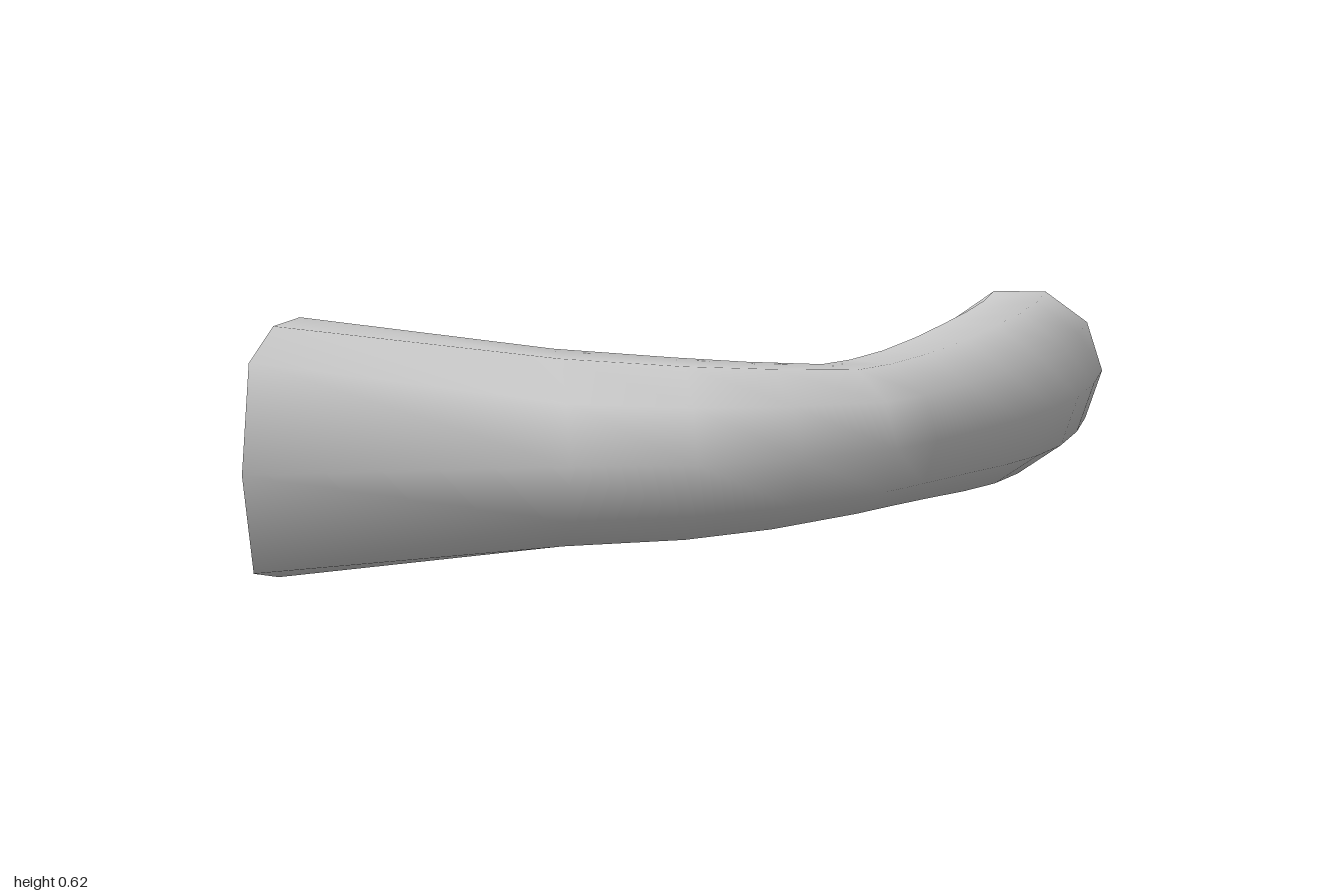
import * as THREE from 'three';

const SIDES = 10;
const MID_Y = 0.315;

// Cross-sections along the bend: outer x, z, inner x, z, half height
const RINGS = [
  [-0.25, 0.72, -0.4, 0.2, 0.233],
  [0.05, 0.67, -0.1, 0.21, 0.215],
  [0.29, 0.555, 0.04, 0.195, 0.2],
  [0.51, 0.39, 0.2, 0.13, 0.182],
  [0.6, 0.26, 0.25, 0.07, 0.182],
  [0.7, 0.09, 0.31, -0.03, 0.188],
  [0.8, -0.09, 0.37, -0.18, 0.2],
  [0.88, -0.28, 0.43, -0.36, 0.213],
  [0.94, -0.47, 0.475, -0.54, 0.22],
  [0.98, -0.7, 0.51, -0.73, 0.222],
  [1, -0.93, 0.53, -0.93, 0.222],
];

// Flared mouth outline as z, y, from the outer side over the top
const MOUTH = [
  [0.925, 0.315], [0.84, 0.57], [0.605, 0.625], [0.34, 0.61], [0.23, 0.55],
  [0.125, 0.31], [0.18, 0.08], [0.34, 0.02], [0.605, 0], [0.84, 0.06],
];

function createPipeGeometry() {
  const positions = [];
  for (const [z, y] of MOUTH) positions.push(-1, y, z);

  // Ten-sided rings standing upright between the outer and inner curves
  for (const [ox, oz, ix, iz, halfHeight] of RINGS) {
    for (let i = 0; i < SIDES; i++) {
      const a = (i / SIDES) * Math.PI * 2;
      const t = (1 - Math.cos(a)) / 2;
      positions.push(
        THREE.MathUtils.lerp(ox, ix, t),
        MID_Y + (halfHeight / Math.sin(Math.PI * 0.4)) * Math.sin(a),
        THREE.MathUtils.lerp(oz, iz, t),
      );
    }
  }

  // Skin between neighbouring rings, both ends left open
  const index = [];
  for (let r = 0; r < RINGS.length; r++) {
    for (let i = 0; i < SIDES; i++) {
      const j = (i + 1) % SIDES;
      const a = r * SIDES + i, b = r * SIDES + j;
      const c = a + SIDES, d = b + SIDES;
      index.push(a, c, b, b, c, d);
    }
  }

  const geometry = new THREE.BufferGeometry();
  geometry.setAttribute('position', new THREE.Float32BufferAttribute(positions, 3));
  geometry.setIndex(index);
  geometry.computeVertexNormals();
  return geometry;
}

export function createModel() {
  const group = new THREE.Group();
  group.name = 'bentPipe';
  const material = new THREE.MeshStandardMaterial({ color: 0xcccccc, side: THREE.DoubleSide });
  const pipe = new THREE.Mesh(createPipeGeometry(), material);
  pipe.name = 'pipeWall';
  group.add(pipe);
  return group;
}
